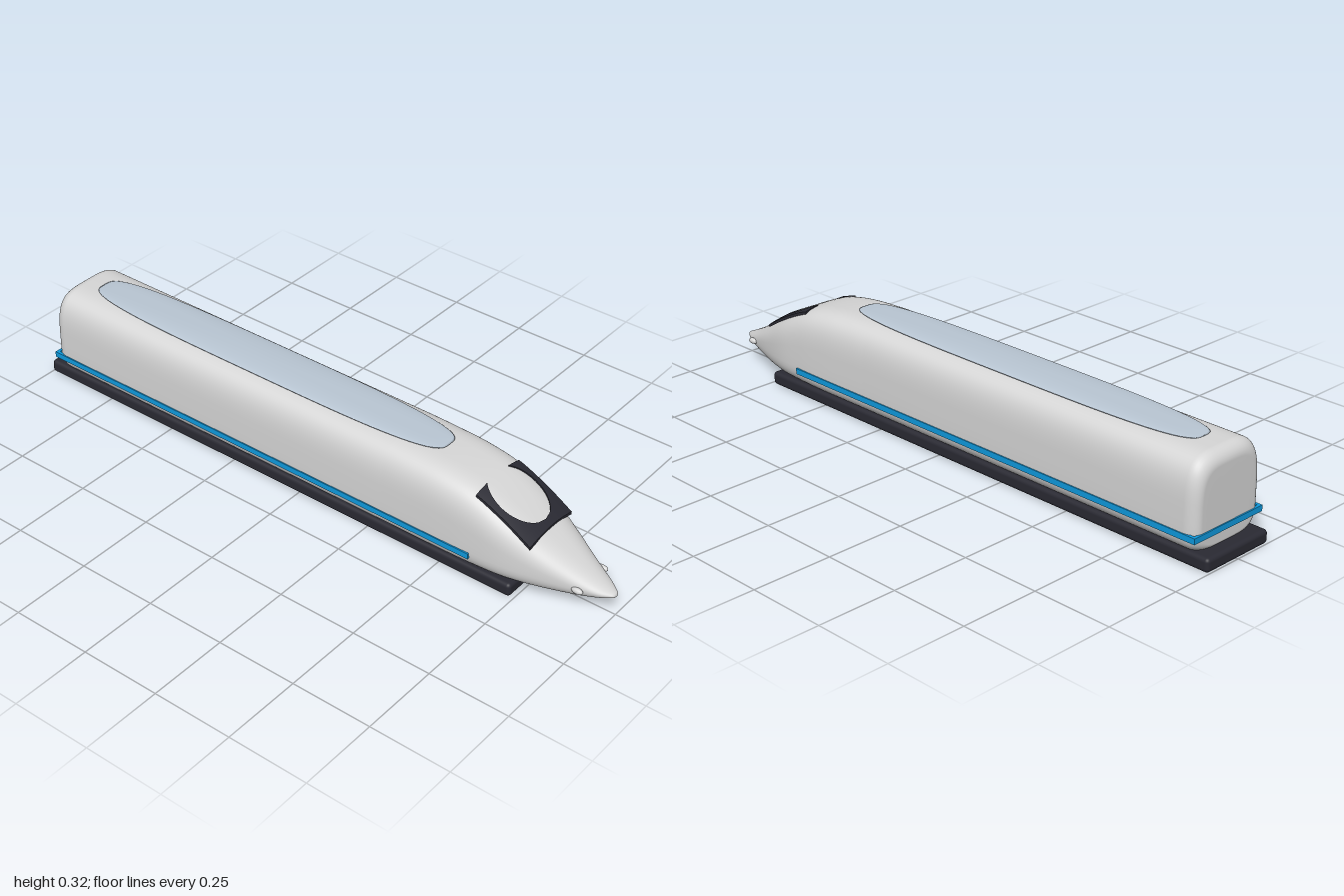
import * as THREE from 'three';
import { RoundedBoxGeometry } from 'three/addons/geometries/RoundedBoxGeometry.js';

const mat = (name, color) => {
  const m = new THREE.MeshStandardMaterial({ color });
  m.name = name;
  return m;
};

// Nose stations: x, top, bottom, height of widest line, half width, roundness exponent
const NOSE = [
  [0.3, 0.307, 0.028, 0.13, 0.136, 4],
  [0.4, 0.304, 0.028, 0.13, 0.136, 4],
  [0.5, 0.297, 0.028, 0.13, 0.136, 4],
  [0.6, 0.279, 0.028, 0.125, 0.134, 3.8],
  [0.7, 0.235, 0.028, 0.115, 0.126, 3.4],
  [0.8, 0.176, 0.028, 0.1, 0.1, 2.8],
  [0.9, 0.118, 0.036, 0.08, 0.062, 2.3],
  [0.96, 0.087, 0.048, 0.07, 0.036, 2],
  [0.995, 0.071, 0.058, 0.066, 0.012, 2],
];
const channels = [1, 2, 3, 4, 5].map(
  (k) => new THREE.SplineCurve(NOSE.map((s) => new THREE.Vector2(s[0], s[k]))));
const noseAt = (t) => {
  const p = channels.map((c) => c.getPoint(t));
  return [p[0].x, ...p.map((v) => v.y)];
};

// Height of the body's centre line at x, in the nose
function topAt(x) {
  let lo = 0, hi = 1;
  for (let i = 0; i < 24; i++) {
    const m = (lo + hi) / 2;
    if (channels[0].getPoint(m).x < x) lo = m; else hi = m;
  }
  return channels[0].getPoint(lo).y;
}

// Body lofted through superellipse sections: rounded tail, straight middle, tapering nose
function bodyGeometry() {
  const stations = [];
  const r = 0.04;
  stations.push([-0.96, 0.2, 0.09, 0.13, 0.08, 4]);
  for (let i = 0; i <= 8; i++) {
    const a = (i / 8) * Math.PI / 2;
    const d = r * (1 - Math.sin(a));
    stations.push([-0.96 + r * (1 - Math.cos(a)), 0.307 - d, 0.028 + d * 0.5, 0.13, 0.136 - d * 0.8, 4]);
  }
  for (const x of [-0.6, -0.3, 0]) stations.push([x, 0.307, 0.028, 0.13, 0.136, 4]);
  for (let i = 0; i <= 40; i++) stations.push(noseAt(i / 40));

  const N = 72, pos = [], idx = [];
  const pw = (v, n) => Math.sign(v) * Math.abs(v) ** (2 / n);
  for (const [x, top, bottom, mid, w, n] of stations) {
    for (let j = 0; j < N; j++) {
      const a = (j / N) * Math.PI * 2;
      const s = pw(Math.sin(a), n);
      pos.push(x, mid + s * (s > 0 ? top - mid : mid - bottom), w * pw(Math.cos(a), n));
    }
  }
  const last = (stations.length - 1) * N;
  const tail = stations.length * N, tip = tail + 1;
  pos.push(-0.96, 0.14, 0, 1, 0.065, 0);
  for (let j = 0; j < N; j++) {
    const k = (j + 1) % N;
    for (let i = 0; i < last; i += N) {
      idx.push(i + j, i + N + j, i + k, i + k, i + N + j, i + N + k);
    }
    idx.push(tail, j, k, tip, last + k, last + j);
  }
  const g = new THREE.BufferGeometry();
  g.setAttribute('position', new THREE.Float32BufferAttribute(pos, 3));
  g.setIndex(idx);
  g.computeVertexNormals();
  return g;
}

// Shallow dome with a superelliptic outline
function roofGlassGeometry() {
  const g = new THREE.SphereGeometry(1, 128, 24);
  const p = g.attributes.position, n = 3.5;
  for (let i = 0; i < p.count; i++) {
    const x = p.getX(i), z = p.getZ(i);
    const r = Math.hypot(x, z);
    const k = r < 1e-6 ? 0 : (Math.abs(x / r) ** n + Math.abs(z / r) ** n) ** (-1 / n);
    p.setXYZ(i, x * k * 0.655, p.getY(i) * 0.01, z * k * 0.08);
  }
  g.computeVertexNormals();
  return g;
}

// Half of the windscreen surround: a thin plate following the nose, cut by an oval
function windscreenGeometry(side) {
  const g = new THREE.BoxGeometry(1, 1, 1, 36, 1, 8);
  const p = g.attributes.position;
  for (let i = 0; i < p.count; i++) {
    const x = 0.69 + p.getX(i) * 0.18;
    const e = (x - 0.67) / 0.09;
    const inner = 0.08 * Math.sqrt(Math.max(0, 1 - e * e));
    const v = p.getZ(i) + 0.5;
    const z = side > 0 ? inner + (0.1 - inner) * v : -0.1 + (0.1 - inner) * v;
    p.setXYZ(i, x, topAt(x) + 0.002 + p.getY(i) * 0.009 - 1.4 * z * z, z);
  }
  g.computeVertexNormals();
  return g;
}

export function createModel() {
  const group = new THREE.Group();
  const shell = mat('shell grey', 0xd6d6d6);
  const dark = mat('charcoal', 0x2a2a33);
  const blue = mat('stripe blue', 0x0f9ade);
  const glass = mat('roof glass', 0xb9c6d3);

  const add = (name, geometry, material, x = 0, y = 0, z = 0) => {
    const m = new THREE.Mesh(geometry, material);
    m.name = name;
    m.position.set(x, y, z);
    group.add(m);
    return m;
  };

  add('body', bodyGeometry(), shell);
  add('skirt', new RoundedBoxGeometry(1.74, 0.042, 0.25, 4, 0.012), dark, -0.13, 0.021, 0);
  add('roofWindow', roofGlassGeometry(), glass, -0.215, 0.309, 0);

  // Stripe along both sides and around the tail
  add('rearStripe', new THREE.BoxGeometry(0.01, 0.018, 0.278), blue, -0.959, 0.086, 0);
  for (const side of [1, -1]) {
    const label = side > 0 ? 'left' : 'right';
    add(label + 'Stripe', new THREE.BoxGeometry(1.572, 0.018, 0.01), blue, -0.178, 0.086, side * 0.134);
    add(label + 'WindscreenSurround', windscreenGeometry(side), dark);
    const lamp = add(label + 'Headlight', new THREE.SphereGeometry(0.009, 20, 14), shell, 0.912, 0.077, side * 0.062);
    lamp.scale.x = 2;
  }
  return group;
}
